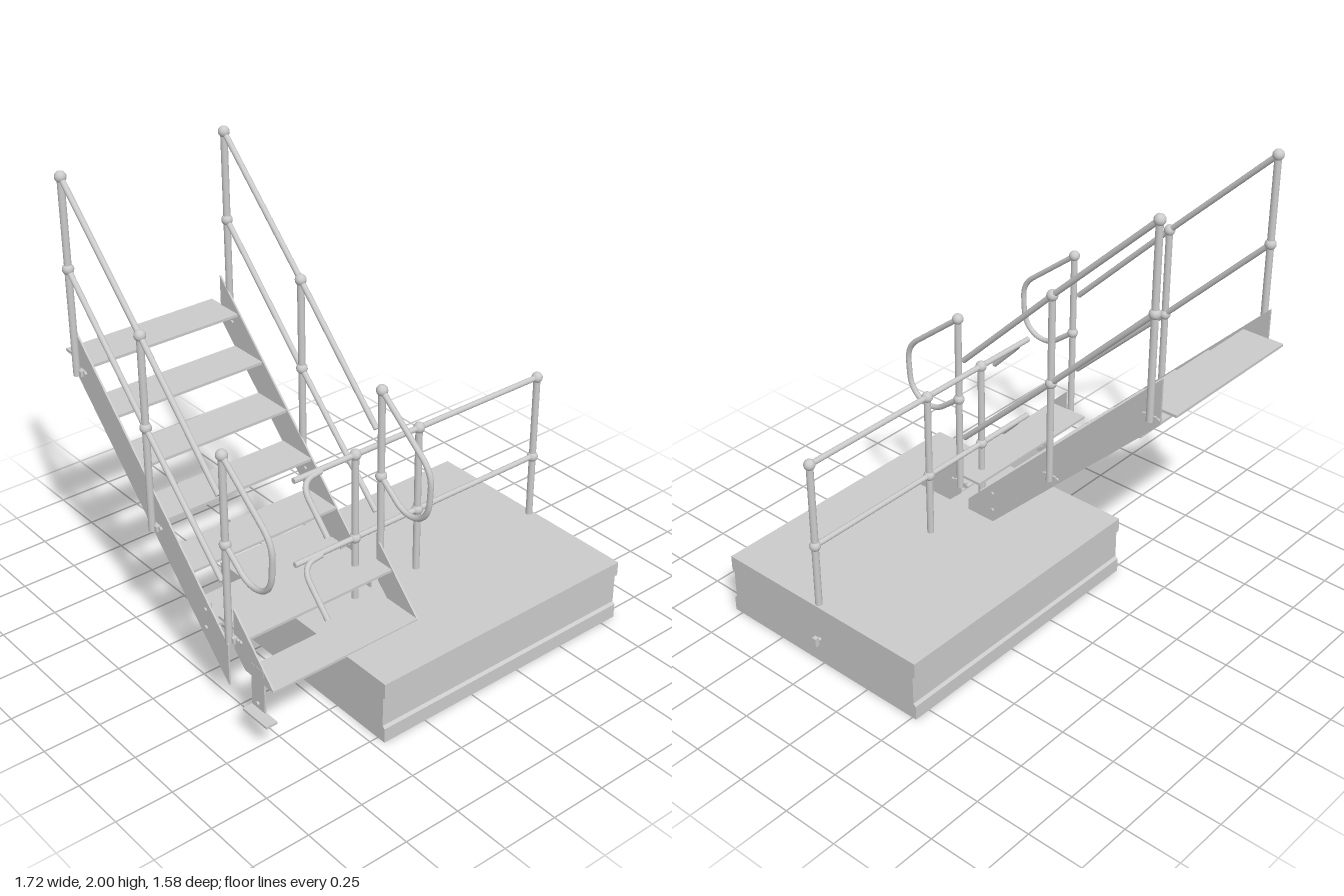
import * as THREE from 'three';

const material = new THREE.MeshStandardMaterial({ color: 0xcccccc });
const V = (x, y, z) => new THREE.Vector3(x, y, z);

function add(parent, geometry, name) {
  const mesh = new THREE.Mesh(geometry, material);
  mesh.name = name;
  parent.add(mesh);
  return mesh;
}

function box(parent, name, x0, x1, y0, y1, z0, z1) {
  const mesh = add(parent, new THREE.BoxGeometry(x1 - x0, y1 - y0, z1 - z0), name);
  mesh.position.set((x0 + x1) / 2, (y0 + y1) / 2, (z0 + z1) / 2);
}

// Side profile given as [z, y] corners, extruded from x0 to x1
function sidePlate(parent, name, points, x0, x1) {
  const shape = new THREE.Shape(points.map(([z, y]) => new THREE.Vector2(-z, y)));
  const geometry = new THREE.ExtrudeGeometry(shape, { depth: x1 - x0, bevelEnabled: false });
  geometry.rotateY(Math.PI / 2).translate(x0, 0, 0);
  add(parent, geometry, name);
}

// Straight round bar between two points
function bar(parent, name, a, b, radius) {
  const mesh = add(parent, new THREE.CylinderGeometry(radius, radius, a.distanceTo(b), 14), name);
  mesh.position.copy(a).lerp(b, 0.5);
  mesh.quaternion.setFromUnitVectors(V(0, 1, 0), b.clone().sub(a).normalize());
}

function ball(parent, x, y, z, radius = 0.024) {
  add(parent, new THREE.SphereGeometry(radius, 16, 12), 'ballJoint').position.set(x, y, z);
}

function bentPipe(parent, name, curve, radius) {
  add(parent, new THREE.TubeGeometry(curve, 48, radius, 10), name);
}

function bolt(parent, x, y, z) {
  bar(parent, 'bolt', V(x - 0.012, y, z), V(x + 0.012, y, z), 0.009);
}

// Post with ball joints at the given heights
function post(parent, x, z, base, joints) {
  bar(parent, 'post', V(x, base, z), V(x, joints[0], z), 0.015);
  joints.forEach((y) => ball(parent, x, y, z));
}

// Platform with a channel section along front and back
function buildPlatform() {
  const group = new THREE.Group();
  group.name = 'platform';
  sidePlate(group, 'platformBody', [
    [0.79, 0], [0.79, 0.065], [0.778, 0.075], [0.778, 0.205], [0.79, 0.215], [0.79, 0.28],
    [-0.27, 0.28], [-0.27, 0.215], [-0.258, 0.205], [-0.258, 0.075], [-0.27, 0.065], [-0.27, 0],
  ], -0.46, 0.825);
  bar(group, 'sideStud', V(0.82, 0.12, 0.265), V(0.85, 0.12, 0.265), 0.008);
  box(group, 'sideStudHead', 0.84, 0.86, 0.1, 0.14, 0.255, 0.275);
  return group;
}

// Railing across the platform, with two bars hooked down at the stair end
function buildPlatformRailing() {
  const group = new THREE.Group();
  group.name = 'platformRailing';
  const z = 0.28;
  for (const x of [-0.185, 0.145, 0.805]) post(group, x, z, 0.28, [0.955, 0.57]);
  for (const y of [0.955, 0.57]) {
    bar(group, 'rail', V(-0.49, y, z), V(0.805, y, z), 0.012);
    const hook = new THREE.CurvePath();
    hook.add(new THREE.LineCurve3(V(-0.36, y - 0.005, z + 0.005), V(-0.4, y - 0.007, z + 0.008)));
    hook.add(new THREE.QuadraticBezierCurve3(
      V(-0.4, y - 0.007, z + 0.008), V(-0.463, y - 0.012, z + 0.012), V(-0.463, y - 0.065, z + 0.06)));
    hook.add(new THREE.LineCurve3(V(-0.463, y - 0.065, z + 0.06), V(-0.463, y - 0.18, z + 0.17)));
    bentPipe(group, 'railHook', hook, 0.012);
  }
  return group;
}

// Upper flight plus the two-step lower flight set forward of it
function buildStairs() {
  const group = new THREE.Group();
  group.name = 'stairs';
  for (const x of [-0.814, -0.094]) {
    sidePlate(group, 'upperStringer',
      [[0.27, 0.14], [0.27, 0.335], [-0.72, 1.33], [-0.72, 1.125]], x, x + 0.008);
    sidePlate(group, 'lowerStringer',
      [[0.38, 0.28], [0.56, 0.28], [0.315, 0.53], [0.315, 0.342]], x, x + 0.008);
  }
  for (let i = 0; i < 6; i++) {
    const y = 0.395 + i * 0.159, front = 0.21 - i * 0.162;
    box(group, 'tread', -0.81, -0.09, y - 0.006, y + 0.006, front - 0.19, front);
  }
  box(group, 'lowerTread', -0.81, -0.09, 0.427, 0.439, 0.21, 0.4);
  box(group, 'lowerTread', -0.81, -0.09, 0.274, 0.286, 0.38, 0.56);

  // Angle foot beside the platform
  box(group, 'footPlate', -0.815, -0.807, 0.135, 0.34, 0.42, 0.5);
  box(group, 'footFlange', -0.86, -0.807, 0.135, 0.145, 0.42, 0.57);
  bolt(group, -0.812, 0.17, 0.46);

  // Cleats and bolts joining the flights
  for (const [plate, inner] of [[-0.81, 1], [-0.09, -1]]) {
    const edge = plate + inner * 0.035;
    box(group, 'cleat', Math.min(plate, edge), Math.max(plate, edge), 0.31, 0.43, 0.108, 0.116);
    for (const [z, y] of [[0.13, 0.34], [0.13, 0.425], [0.36, 0.4]]) bolt(group, plate, y, z);
  }
  return group;
}

// Sloping handrail on one side, ending in a closed loop at the foot
function buildHandrail(name, x, plateX) {
  const group = new THREE.Group();
  group.name = name;
  post(group, x, -0.675, 1.13, [1.976, 1.595]);
  post(group, x, -0.188, 0.64, [1.5, 1.105]);
  post(group, x, 0.31, 0.385, [1.215, 0.83]);

  for (const [top, middle, end] of [[1.976, 1.5, 1.03], [1.595, 1.105, 0.65]]) {
    bar(group, 'slopingRail', V(x, top, -0.675), V(x, middle, -0.188), 0.012);
    bar(group, 'slopingRail', V(x, middle, -0.188), V(x, end, 0.28), 0.012);
  }

  const p = (z, y) => V(x, y, z);
  const loop = new THREE.CurvePath();
  loop.add(new THREE.LineCurve3(p(0.31, 1.215), p(0.54, 1.03)));
  loop.add(new THREE.QuadraticBezierCurve3(p(0.54, 1.03), p(0.6, 0.985), p(0.6, 0.92)));
  loop.add(new THREE.LineCurve3(p(0.6, 0.92), p(0.595, 0.84)));
  loop.add(new THREE.CubicBezierCurve3(p(0.595, 0.84), p(0.585, 0.73), p(0.47, 0.7), p(0.4, 0.76)));
  loop.add(new THREE.LineCurve3(p(0.4, 0.76), p(0.31, 0.83)));
  bentPipe(group, 'endLoop', loop, 0.012);

  // Bolted fixings between post feet and stringer
  for (const [z, y] of [[-0.675, 1.145], [-0.188, 0.655], [0.31, 0.4]]) {
    box(group, 'postBracket', Math.min(x, plateX), Math.max(x, plateX), y - 0.012, y + 0.012, z - 0.03, z + 0.03);
    for (const side of [-1, 1]) bolt(group, plateX, y, z + side * 0.035);
  }
  return group;
}

export function createModel() {
  const model = new THREE.Group();
  model.name = 'stairsWithPlatform';
  model.add(
    buildPlatform(),
    buildPlatformRailing(),
    buildStairs(),
    buildHandrail('rightHandrail', -0.835, -0.812),
    buildHandrail('leftHandrail', -0.078, -0.09),
  );
  return model;
}
